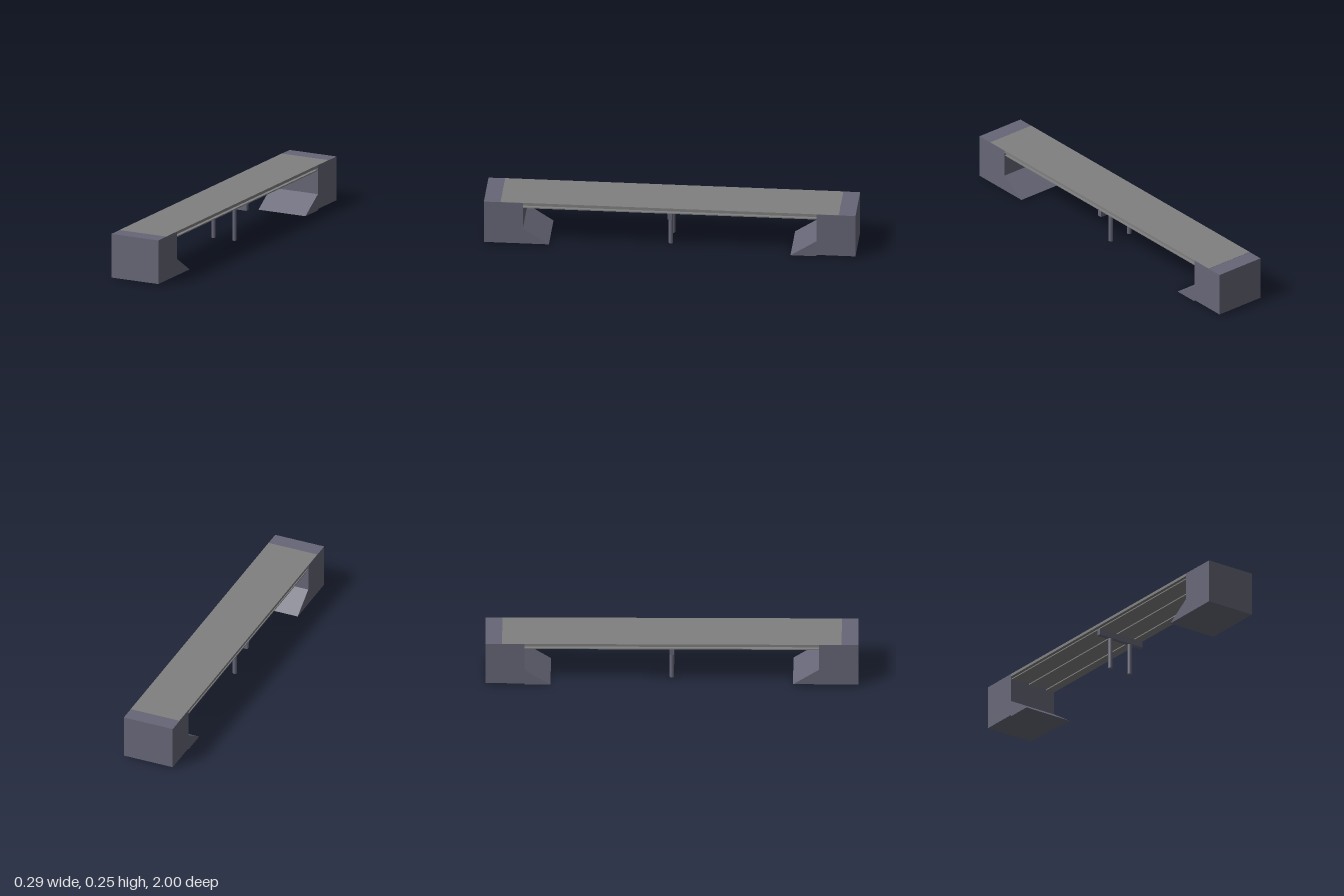
import * as THREE from 'three';

export function createModel() {
  const model = new THREE.Group();
  model.name = 'bridge';
  const concrete = new THREE.MeshStandardMaterial({ color: 0x666677 });
  const deckGrey = new THREE.MeshStandardMaterial({ color: 0x808080 });
  const width = 0.287;

  function add(name, geometry, material, x = 0, y = 0, z = 0, parent = model) {
    const mesh = new THREE.Mesh(geometry, material);
    mesh.name = name;
    mesh.position.set(x, y, z);
    parent.add(mesh);
    return mesh;
  }

  // Box given by its bottom and top heights
  function slab(name, w, y0, y1, d, material, x = 0, z = 0, parent = model) {
    return add(name, new THREE.BoxGeometry(w, y1 - y0, d), material, x, (y0 + y1) / 2, z, parent);
  }

  // Profile points are [z, y], extruded across the width of the bridge
  function acrossBridge(name, points, material) {
    const shape = new THREE.Shape(points.map(([z, y]) => new THREE.Vector2(-z, y)));
    const geometry = new THREE.ExtrudeGeometry(shape, { depth: width, bevelEnabled: false });
    geometry.translate(0, 0, -width / 2).rotateY(Math.PI / 2);
    return add(name, geometry, material);
  }

  // Abutments, each with a sloped embankment; the back one sits a little lower
  slab('frontAbutment', width, 0.008, 0.25, 0.21, concrete, 0, 0.895);
  slab('backAbutment', width, 0.008, 0.25, 0.21, concrete, 0, -0.895);
  acrossBridge('frontEmbankment', [[0.79, 0.008], [0.65, 0.008], [0.79, 0.098]], concrete);
  acrossBridge('backEmbankment', [[-0.79, 0], [-0.65, 0], [-0.79, 0.09]], concrete);

  // Deck
  slab('deck', width - 0.001, 0.236, 0.251, 1.82, deckGrey);

  // Three I-beam girders
  for (const x of [-0.115, 0, 0.115]) {
    const girder = new THREE.Group();
    girder.name = 'girder';
    slab('girderWeb', 0.014, 0.224, 0.237, 1.8, deckGrey, x, 0, girder);
    slab('girderFlange', 0.05, 0.218, 0.224, 1.8, deckGrey, x, 0, girder);
    model.add(girder);
  }

  // Middle pier: cap beam on two round columns
  slab('pierCap', width - 0.002, 0.184, 0.218, 0.024, concrete);
  for (const side of [-1, 1]) {
    add('pierColumn', new THREE.CylinderGeometry(0.012, 0.012, 0.176, 16), concrete, side * 0.064, 0.096, 0);
  }
  return model;
}
